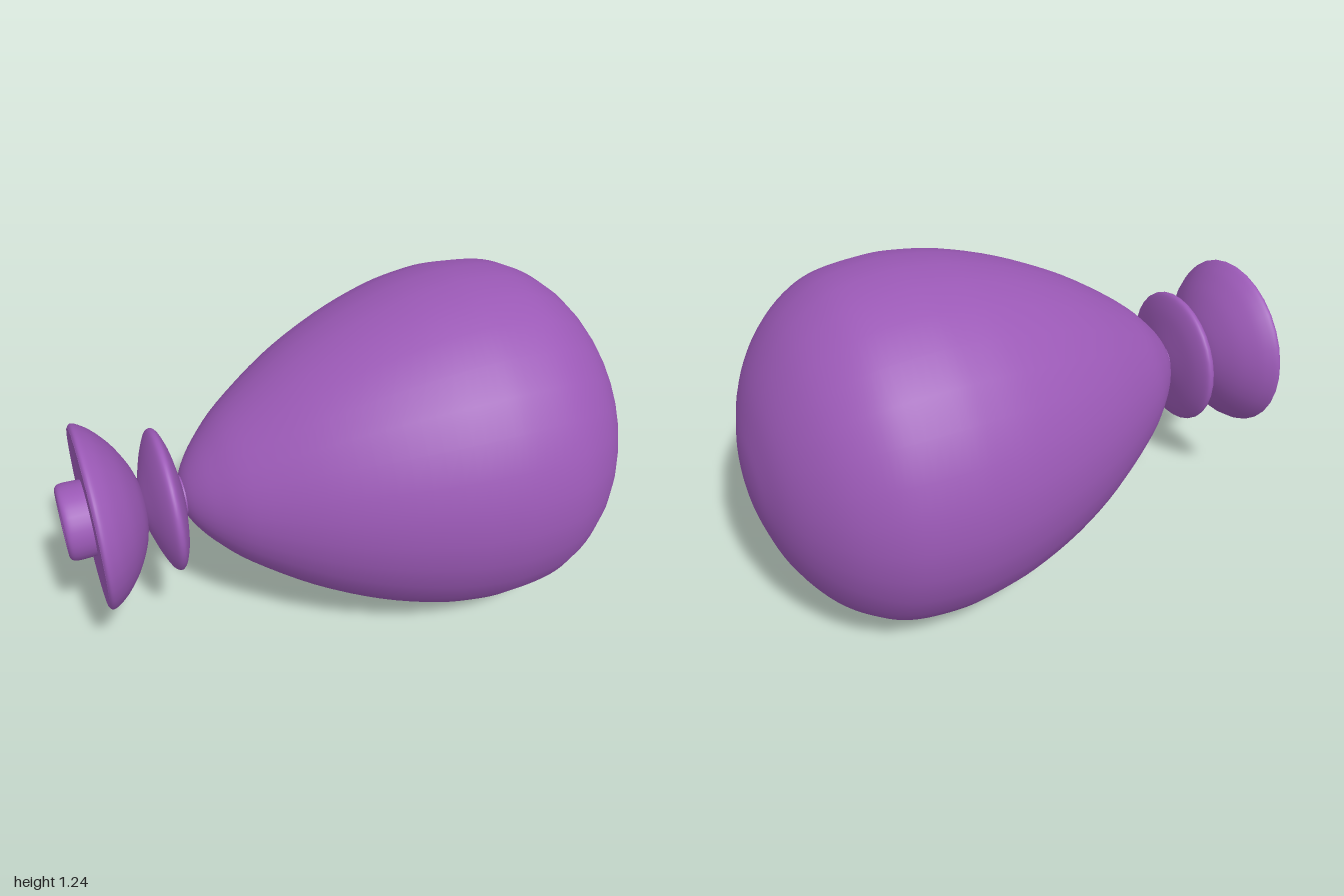
import * as THREE from 'three';

const AXIS_Y = 0.622;
const SEGMENTS = 32;

export function createModel() {
  const model = new THREE.Group();
  model.name = 'balloon';
  const material = new THREE.MeshStandardMaterial({ color: 0x9b59b6 });

  // Turns a smooth profile of [x, radius] pairs about the long axis
  function addTurned(name, profile, steps) {
    const curve = new THREE.SplineCurve(profile.map(([x, r]) => new THREE.Vector2(r, x)));
    const points = curve.getPoints(steps);
    points.forEach((p) => { p.x = Math.max(p.x, 0); });
    const geometry = new THREE.LatheGeometry(points, SEGMENTS);
    geometry.rotateZ(-Math.PI / 2);
    const mesh = new THREE.Mesh(geometry, material);
    mesh.name = name;
    mesh.position.y = AXIS_Y;
    model.add(mesh);
  }

  // Inflated body, blunt at +x and tapering to the neck
  addTurned('body', [
    [-0.6, 0], [-0.592, 0.06], [-0.56, 0.122], [-0.5, 0.195], [-0.4, 0.287], [-0.2, 0.423],
    [0, 0.522], [0.2, 0.589], [0.35, 0.616], [0.46, 0.622], [0.6, 0.607], [0.7, 0.57],
    [0.8, 0.498], [0.88, 0.402], [0.94, 0.292], [0.98, 0.165], [0.995, 0.08], [1, 0],
  ], 68);

  // Thin neck core hidden inside the knot
  addTurned('neck', [[-0.75, 0.07], [-0.66, 0.07], [-0.58, 0.07]], 4);

  // Lens-shaped knot
  addTurned('knot', [
    [-0.735, 0.06], [-0.72, 0.11], [-0.695, 0.185], [-0.67, 0.236], [-0.652, 0.248],
    [-0.635, 0.236], [-0.615, 0.185], [-0.6, 0.11], [-0.592, 0.06],
  ], 32);

  // Flared skirt with a flat back and rounded rim
  addTurned('skirt', [
    [-0.912, 0], [-0.912, 0.15], [-0.914, 0.29], [-0.913, 0.308], [-0.902, 0.318], [-0.88, 0.31],
    [-0.84, 0.28], [-0.79, 0.222], [-0.75, 0.15], [-0.73, 0.09], [-0.724, 0.05],
  ], 40);

  // Mouth: funnel inside, rounded lip, short tube outside
  addTurned('mouth', [
    [-0.915, 0], [-0.935, 0.04], [-0.965, 0.07], [-0.99, 0.09], [-1, 0.11],
    [-0.993, 0.126], [-0.975, 0.132], [-0.94, 0.132], [-0.905, 0.13],
  ], 32);

  return model;
}
